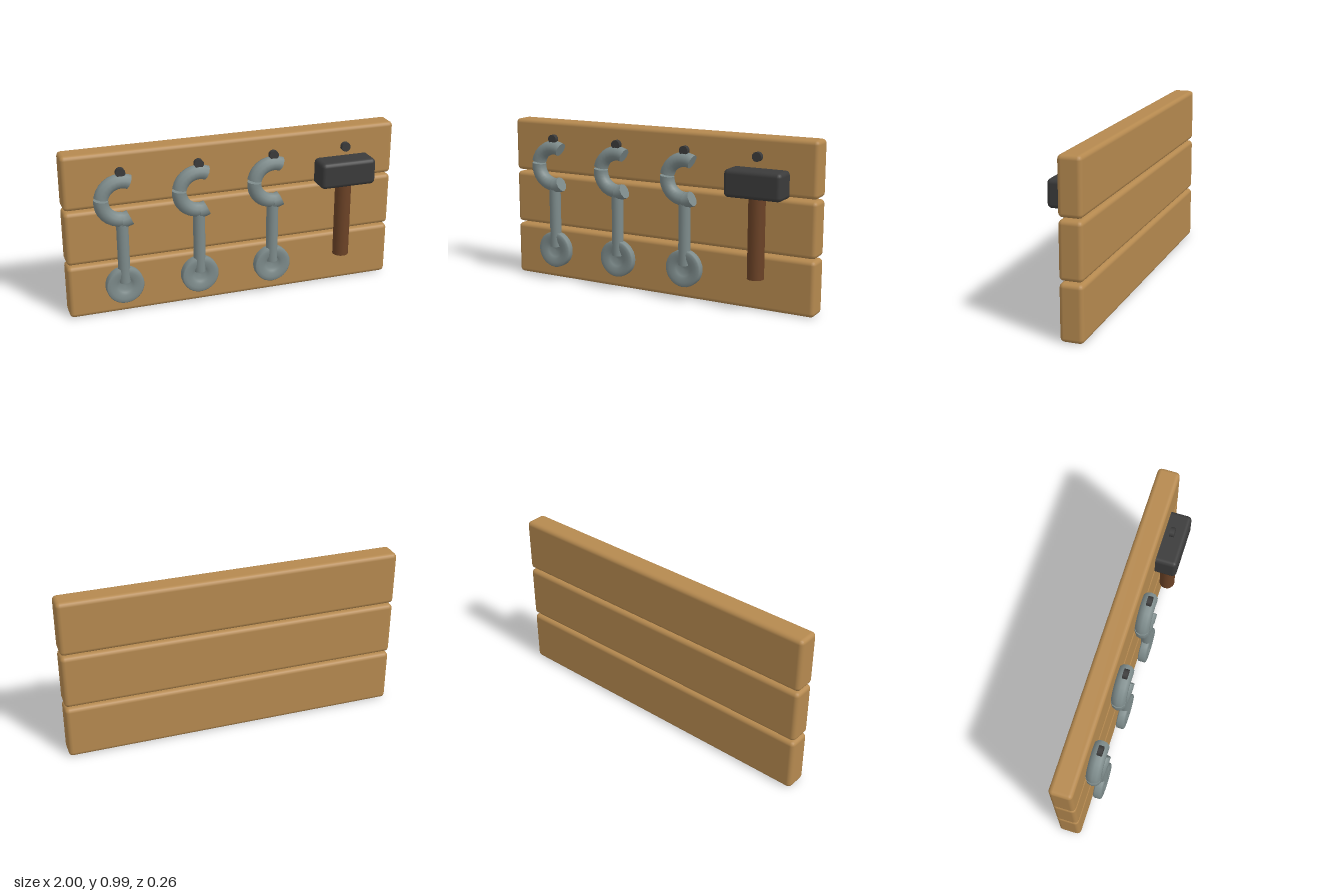
import * as THREE from 'three';
import { RoundedBoxGeometry } from 'three/addons/geometries/RoundedBoxGeometry.js';

const material = (name, color, side = THREE.FrontSide) => {
  const m = new THREE.MeshStandardMaterial({ color, side });
  m.name = name;
  return m;
};

export function createModel() {
  const wood = material('plank wood', 0xb5894f);
  const steel = material('tool steel', 0x7d8b8b, THREE.DoubleSide);
  const dark = material('dark iron', 0x3b3b3b);
  const brown = material('handle wood', 0x6b4226);
  const root = new THREE.Group();
  root.name = 'toolRack';
  const TOOL_Z = 0.046;

  const add = (parent, name, geometry, mat, x = 0, y = 0, z = 0) => {
    const mesh = new THREE.Mesh(geometry, mat);
    mesh.name = name;
    mesh.position.set(x, y, z);
    parent.add(mesh);
    return mesh;
  };

  // Backboard: three bevelled planks
  for (let i = 0; i < 3; i++) {
    add(root, 'plank', new RoundedBoxGeometry(2, 0.322, 0.133, 2, 0.025), wood, 0, 0.163 + i * 0.333, -0.0635);
  }

  // Pegs above each tool
  const toolX = [-0.682, -0.232, 0.218, 0.668];
  for (const x of toolX) {
    const peg = new THREE.CylinderGeometry(0.028, 0.028, 0.028, 10).rotateX(Math.PI / 2);
    add(root, 'peg', peg, dark, x, 0.888, 0.054);
  }

  // Capped tube arc of the wrench jaw, angles in degrees
  const jawArc = (parent, from, to, radius, tube) => {
    const a = THREE.MathUtils.degToRad(from);
    const sweep = THREE.MathUtils.degToRad(to - from);
    const arc = add(parent, 'jaw', new THREE.TorusGeometry(radius, tube, 10, 8, sweep), steel, 0, 0.72, 0);
    arc.rotation.z = a;
    for (const t of [a, a + sweep]) {
      const cap = new THREE.CircleGeometry(tube, 10).rotateX(Math.PI / 2);
      const c = add(parent, 'jawEnd', cap, steel, radius * Math.cos(t), 0.72 + radius * Math.sin(t), 0);
      c.rotation.z = t;
    }
  };

  // Dished disc at the foot of the wrench
  const discProfile = [
    [0, -0.006], [0.03, -0.008], [0.046, -0.016], [0.06, -0.023], [0.085, -0.026], [0.104, -0.025], [0.111, -0.018],
    [0.111, 0.018], [0.104, 0.025], [0.085, 0.026], [0.06, 0.023], [0.046, 0.016], [0.03, 0.008], [0, 0.006],
  ].map(([r, h]) => new THREE.Vector2(r, h));

  // Three matching wrenches
  for (const x of toolX.slice(0, 3)) {
    const wrench = new THREE.Group();
    wrench.name = 'wrench';
    wrench.position.set(x, 0, TOOL_Z);
    root.add(wrench);
    add(wrench, 'wrenchShaft', new THREE.CylinderGeometry(0.035, 0.035, 0.39, 16), steel, 0, 0.412, 0);
    add(wrench, 'wrenchFoot', new THREE.LatheGeometry(discProfile, 28).rotateX(Math.PI / 2), steel, 0, 0.198, 0);
    jawArc(wrench, 66, 168, 0.115, 0.043);
    jawArc(wrench, 174, 272, 0.114, 0.043);
    jawArc(wrench, 268, 294, 0.118, 0.045);
  }

  // Mallet
  const mallet = new THREE.Group();
  mallet.name = 'mallet';
  mallet.position.set(toolX[3], 0, 0);
  root.add(mallet);
  add(mallet, 'malletHead', new RoundedBoxGeometry(0.342, 0.158, 0.165, 2, 0.025), dark, 0, 0.738, 0.0475);
  add(mallet, 'malletHandle', new THREE.CylinderGeometry(0.048, 0.048, 0.5, 16), brown, 0, 0.447, TOOL_Z);

  return root;
}
